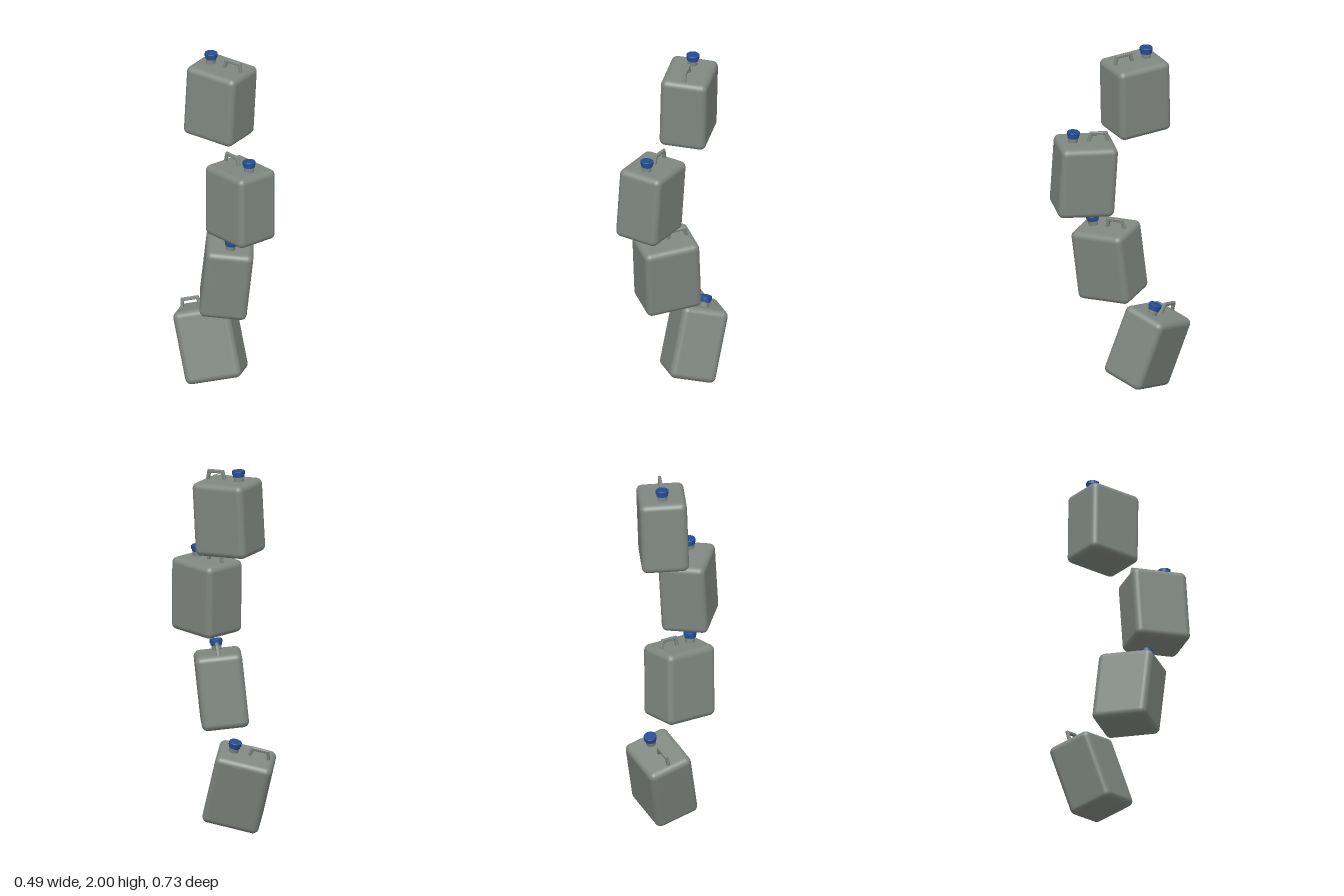
import * as THREE from 'three';
import { RoundedBoxGeometry } from 'three/addons/geometries/RoundedBoxGeometry.js';

const W = 0.257, H = 0.407, D = 0.313, R = 0.033;

function makeMaterial(name, color) {
  const m = new THREE.MeshStandardMaterial({ color });
  m.name = name;
  return m;
}

// Trapezoid bar frame with chamfered edges, lying in the can's long plane
function handleGeometry() {
  const t = 0.006, bevel = 0.003;
  const s = new THREE.Shape([
    [-0.061, -0.01], [-0.046, 0.05], [0.046, 0.05], [0.061, -0.01],
    [0.049, -0.01], [0.037, 0.038], [-0.037, 0.038], [-0.049, -0.01],
  ].map(([x, y]) => new THREE.Vector2(x, y)));
  const g = new THREE.ExtrudeGeometry(s, {
    depth: 2 * t, bevelEnabled: true, bevelSize: bevel, bevelThickness: bevel, bevelSegments: 1,
  });
  g.translate(0, 0, -t);
  g.rotateY(Math.PI / 2);
  return g;
}

// Screw cap: narrow skirt under a wider disc with a chamfered rim
function capGeometry() {
  const skirt = 0.031, disc = 0.035;
  const pts = [
    [0, 0], [skirt, 0], [skirt, 0], [skirt, 0.012], [skirt, 0.012], [disc, 0.014], [disc, 0.014],
    [disc, 0.031], [disc, 0.031], [disc - 0.002, 0.033], [disc - 0.002, 0.033], [0, 0.033],
  ].map(([x, y]) => new THREE.Vector2(x, y));
  return new THREE.LatheGeometry(pts, 32);
}

// One can pose: body centre, up axis, and direction from cap to handle
const poses = [
  { at: [0.05, 0.247, -0.13], up: [0.09, 0.944, -0.316], along: [-0.517, -0.228, -0.828] },
  { at: [-0.04, 0.75, 0.056], up: [0.01, 1, 0.125], along: [0.78, 0, -0.62] },
  { at: [-0.085, 1.248, 0.187], up: [0.05, 1, -0.043], along: [0.183, 0, -0.983] },
  { at: [0.046, 1.737, -0.058], up: [0.035, 1, 0.035], along: [0.11, 0, 0.994] },
];

export function createModel() {
  const grey = makeMaterial('can grey', 0x808781);
  const blue = makeMaterial('cap blue', 0x234c90);

  // Shared parts: geometry, material, position in the can's own frame
  const parts = [
    ['body', new RoundedBoxGeometry(W, H, D, 5, R), grey, [0, 0, 0]],
    ['neck', new THREE.CylinderGeometry(0.027, 0.027, 0.04, 32), grey, [0, H / 2 + 0.011, -0.074]],
    ['cap', capGeometry(), blue, [0, H / 2 + 0.026, -0.074]],
    ['handle', handleGeometry(), grey, [0, H / 2, 0.067]],
  ];

  const model = new THREE.Group();
  model.name = 'canStack';
  poses.forEach(({ at, up, along }, i) => {
    const can = new THREE.Group();
    can.name = `can${i + 1}`;
    for (const [name, geometry, material, position] of parts) {
      const mesh = new THREE.Mesh(geometry, material);
      mesh.name = name;
      mesh.position.set(...position);
      can.add(mesh);
    }
    // Tilt and turn the can
    const y = new THREE.Vector3(...up).normalize();
    const x = y.clone().cross(new THREE.Vector3(...along)).normalize();
    const z = x.clone().cross(y);
    can.quaternion.setFromRotationMatrix(new THREE.Matrix4().makeBasis(x, y, z));
    can.position.set(...at);
    model.add(can);
  });
  return model;
}
